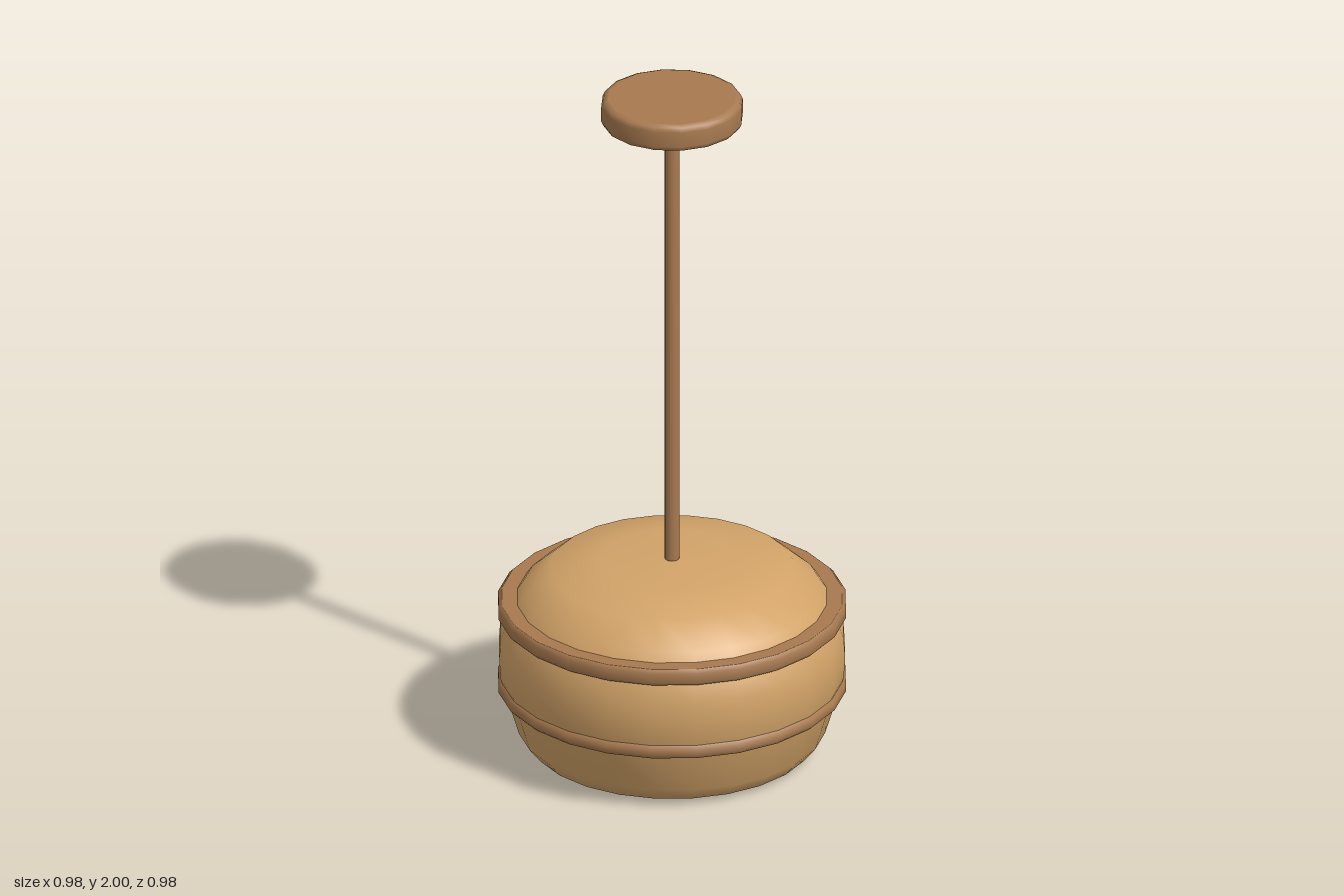
import * as THREE from 'three';

const tan = new THREE.MeshStandardMaterial({ color: 0xd2a368 });
const brown = new THREE.MeshStandardMaterial({ color: 0xa87a50 });

// Turn a list of [radius, height] points, running bottom to top, around the y axis
function turned(name, profile, segments, material) {
  const points = profile.map(([r, y]) => new THREE.Vector2(r, y));
  const mesh = new THREE.Mesh(new THREE.LatheGeometry(points, segments), material);
  mesh.name = name;
  return mesh;
}

// Solid disc or rod with bevelled rims; doubled rim points keep the flat ends flat
function disc(name, radius, bottom, top, bevel, segments) {
  const r = radius - bevel;
  return turned(name, [
    [0, bottom], [r - 0.001, bottom], [r, bottom],
    [radius - bevel * 0.3, bottom + bevel * 0.3], [radius, bottom + bevel],
    [radius, top - bevel], [radius - bevel * 0.3, top - bevel * 0.3],
    [r, top], [r - 0.001, top], [0, top],
  ], segments, brown);
}

// Closed band around the shade, its inner wall hidden inside the shade
function band(name, bottom, top, inner, outer, bevel) {
  return turned(name, [
    [inner, bottom], [outer - bevel - 0.001, bottom], [outer - bevel, bottom],
    [outer, bottom + bevel], [outer, top - bevel],
    [outer - bevel, top], [outer - bevel - 0.001, top], [inner, top],
  ], 24, brown);
}

export function createModel() {
  const model = new THREE.Group();
  model.name = 'pendantLamp';

  // Rounded drum shade
  model.add(turned('shade', [
    [0, 0.003], [0.2, 0.002], [0.34, 0], [0.398, 0.016], [0.432, 0.058],
    [0.466, 0.17], [0.484, 0.23], [0.488, 0.29], [0.484, 0.35],
    [0.463, 0.415], [0.42, 0.477], [0.342, 0.545], [0.2, 0.569], [0, 0.573],
  ], 24, tan));

  // Trim bands
  model.add(band('upperBand', 0.405, 0.454, 0.4, 0.49, 0.01));
  model.add(band('lowerBand', 0.179, 0.219, 0.42, 0.49, 0.01));

  // Hanging rod and ceiling plate
  model.add(disc('rod', 0.021, 0.57, 1.93, 0.006, 12));
  model.add(disc('ceilingPlate', 0.2, 1.92, 2, 0.018, 16));

  return model;
}
